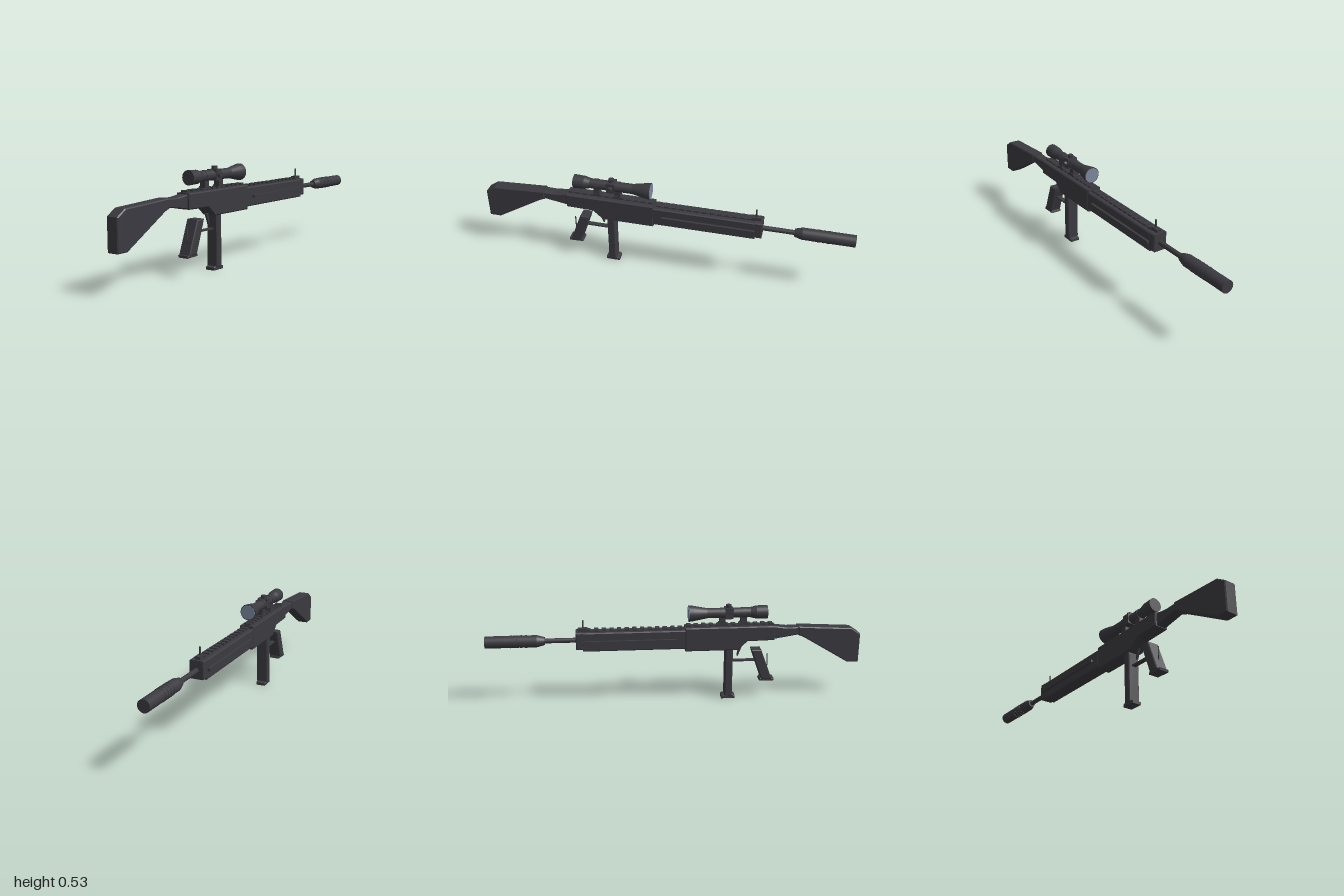
import * as THREE from 'three';

const metal = new THREE.MeshStandardMaterial({ color: 0x3b3a40 });
metal.name = 'charcoal';
const glass = new THREE.MeshStandardMaterial({ color: 0x7c889e });
glass.name = 'lensBlue';

export function createModel() {
  const model = new THREE.Group();
  model.name = 'rifle';

  const add = (name, geo, mat = metal, x = 0, y = 0, z = 0) => {
    const mesh = new THREE.Mesh(geo, mat);
    mesh.name = name;
    mesh.position.set(x, y, z);
    model.add(mesh);
    return mesh;
  };

  // side outline as [z, y] points, given width across x, with chamfered edges
  const slab = (name, pts, half, b = 0.005) => {
    const shape = new THREE.Shape(pts.map(([z, y]) => new THREE.Vector2(z, y)));
    const geo = new THREE.ExtrudeGeometry(shape, {
      depth: 2 * (half - b), bevelEnabled: b > 0, bevelSize: b,
      bevelOffset: -b, bevelThickness: b, bevelSegments: 1,
    });
    geo.translate(0, 0, -(half - b));
    geo.rotateY(-Math.PI / 2);
    return add(name, geo);
  };

  // box from its z and y ranges
  const box = (name, half, z0, z1, y0, y1, x = 0) =>
    add(name, new THREE.BoxGeometry(2 * half, y1 - y0, z1 - z0), metal, x, (y0 + y1) / 2, (z0 + z1) / 2);

  // turned part along z from [radius, z] points, running toward +z;
  // each segment is its own lathe so that the steps stay sharp
  const turned = (name, pts, y, sides = 24) => {
    const group = new THREE.Group();
    group.name = name;
    for (let i = 0; i < pts.length - 1; i++) {
      const pair = [pts[i], pts[i + 1]].map(([r, z]) => new THREE.Vector2(r, z));
      const geo = new THREE.LatheGeometry(pair, sides);
      geo.rotateX(Math.PI / 2);
      const mesh = new THREE.Mesh(geo, metal);
      mesh.name = name + 'Section';
      group.add(mesh);
    }
    group.position.y = y;
    model.add(group);
  };

  // stock and neck
  slab('stock', [[1, 0.195], [1, 0.355], [0.95, 0.388], [0.66, 0.404], [0.66, 0.357], [0.69, 0.345], [0.94, 0.195]], 0.034);
  slab('stockNeck', [[0.67, 0.36], [0.67, 0.401], [0.6, 0.399], [0.52, 0.409], [0.52, 0.336]], 0.029);

  // receiver
  slab('receiver', [[0.53, 0.335], [0.53, 0.413], [0.05, 0.413], [0.05, 0.284], [0.33, 0.284], [0.385, 0.332]], 0.041);

  // handguard with end block and long side ribs
  slab('handguard', [[0.055, 0.298], [0.055, 0.4], [-0.492, 0.4], [-0.492, 0.298]], 0.039);
  slab('handguardEnd', [[-0.485, 0.308], [-0.485, 0.402], [-0.527, 0.402], [-0.527, 0.308]], 0.039);
  for (const side of [-1, 1]) box('sideRib', 0.008, -0.49, 0.005, 0.343, 0.357, side * 0.044);

  // top rails with cross teeth
  const rail = (name, z0, z1, y, count) => {
    box(name, 0.015, z0, z1, y - 0.002, y + 0.004);
    const step = (z1 - z0) / count;
    for (let i = 0; i < count; i++) {
      const z = z0 + step * (i + 0.5);
      box(name + 'Tooth', 0.019, z - step * 0.28, z + step * 0.28, y + 0.002, y + 0.012);
    }
  };
  rail('receiverRail', 0.05, 0.53, 0.413, 12);
  rail('handguardRail', -0.48, 0.045, 0.4, 13);

  // front sight
  box('frontSightBase', 0.014, -0.515, -0.465, 0.4, 0.418);
  box('frontSightPost', 0.003, -0.492, -0.484, 0.415, 0.46);

  // barrel and muzzle tube with shallow rings
  turned('barrel', [[0.013, -0.72], [0.013, -0.5]], 0.352, 16);
  turned('muzzleTube', [[0, -1], [0.032, -1], [0.032, -0.73], [0.021, -0.69], [0, -0.69]], 0.352);
  for (let i = 0; i < 4; i++) {
    const z = -0.87 + i * 0.026;
    turned('muzzleRing', [[0.031, z], [0.0335, z], [0.0335, z + 0.01], [0.031, z + 0.01]], 0.352);
  }

  // grip
  slab('grip', [[0.462, 0.278], [0.41, 0.278], [0.418, 0.25], [0.468, 0.108], [0.525, 0.108]], 0.035);
  slab('gripCap', [[0.535, 0.097], [0.537, 0.11], [0.462, 0.114], [0.457, 0.1]], 0.031, 0.003);
  box('gripSpur', 0.002, 0.499, 0.504, 0.14, 0.245);

  // trigger and guard bar
  slab('trigger', [[0.36, 0.295], [0.342, 0.295], [0.332, 0.24], [0.338, 0.238]], 0.006, 0.001);
  box('guardBar', 0.012, 0.3, 0.43, 0.209, 0.217);

  // magazine
  slab('magazine', [[0.308, 0.016], [0.308, 0.29], [0.268, 0.29], [0.268, 0.016]], 0.032, 0.004);
  slab('magazineBase', [[0.325, 0], [0.325, 0.015], [0.312, 0.02], [0.264, 0.02], [0.25, 0.015], [0.25, 0]], 0.027, 0.002);

  // scope tube, eyepiece and flared objective
  const scopeY = 0.483;
  turned('scope', [[0, 0.07], [0.044, 0.07], [0.041, 0.095], [0.027, 0.168], [0.027, 0.4], [0.035, 0.43], [0.037, 0.49], [0, 0.49]], scopeY);
  const lens = add('objectiveLens', new THREE.CylinderGeometry(0.04, 0.04, 0.003, 24), glass, 0, scopeY, 0.0695);
  lens.rotation.x = Math.PI / 2;

  // scope turrets
  box('turretBand', 0.029, 0.262, 0.306, 0.455, 0.511);
  add('topTurret', new THREE.CylinderGeometry(0.015, 0.015, 0.03, 16), metal, 0, 0.513, 0.284);
  const knob = add('sideTurret', new THREE.CylinderGeometry(0.013, 0.013, 0.03, 16), metal, 0.03, scopeY, 0.284);
  knob.rotation.z = Math.PI / 2;

  // scope mounts
  for (const z of [0.365, 0.25]) {
    box('mountFoot', 0.019, z - 0.02, z + 0.02, 0.418, 0.432);
    box('mountPost', 0.016, z - 0.016, z + 0.016, 0.43, 0.465);
    turned('mountRing', [[0.026, z - 0.012], [0.029, z - 0.012], [0.029, z + 0.012], [0.026, z + 0.012]], scopeY);
  }

  return model;
}
